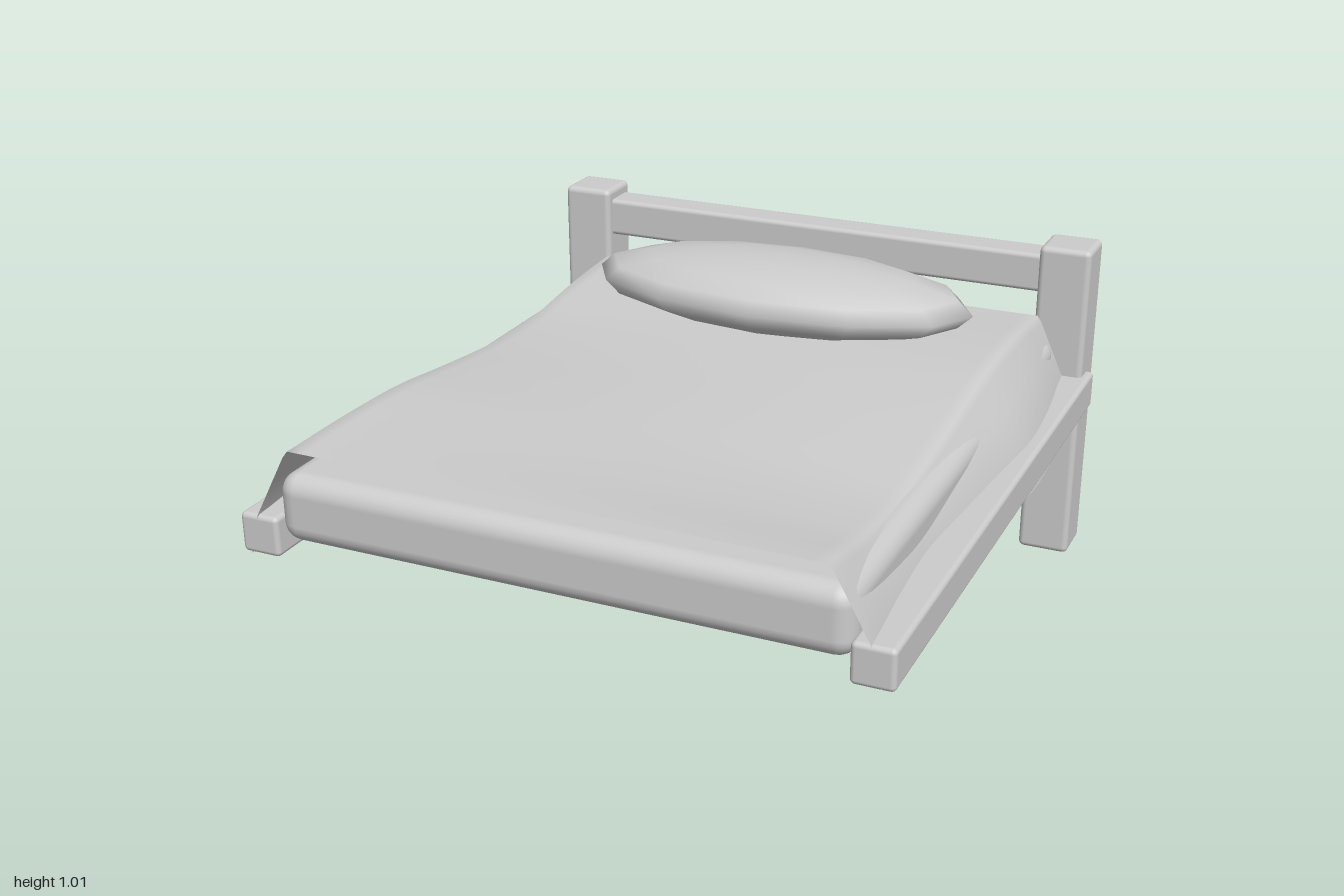
import * as THREE from 'three';
import { RoundedBoxGeometry } from 'three/addons/geometries/RoundedBoxGeometry.js';

const grey = new THREE.MeshStandardMaterial({ color: 0xcccccc, side: THREE.DoubleSide });
grey.name = 'plain grey';

// Rounded block given by its lower and upper limits on each axis
function block(name, [x0, x1], [y0, y1], [z0, z1], radius) {
  const geo = new RoundedBoxGeometry(x1 - x0, y1 - y0, z1 - z0, 3, radius);
  const mesh = new THREE.Mesh(geo, grey);
  mesh.position.set((x0 + x1) / 2, (y0 + y1) / 2, (z0 + z1) / 2);
  mesh.name = name;
  return mesh;
}

// Smooth function through evenly spaced values, t from 0 to 1
function track(values) {
  const curve = new THREE.SplineCurve(values.map((v, i) => new THREE.Vector2(i, v)));
  return t => curve.getPoint(t).y;
}

// Draped cover: shoulder height, spread at rail height and hem height, front to back
function coverGeometry() {
  const left = {
    top: track([0.80, 0.755, 0.735, 0.755, 0.785, 0.812, 0.813, 0.795]),
    spread: track([0.85, 0.83, 0.818, 0.835, 0.855, 0.875, 0.86, 0.83]),
    hem: track([0.5, 0.51, 0.51, 0.495, 0.485, 0.475, 0.485, 0.5]),
  };
  const right = {
    top: track([0.815, 0.815, 0.805, 0.775, 0.75, 0.748, 0.775, 0.79]),
    spread: track([0.855, 0.875, 0.865, 0.85, 0.825, 0.82, 0.84, 0.855]),
    hem: track([0.495, 0.48, 0.475, 0.485, 0.5, 0.505, 0.5, 0.5]),
  };
  const rows = 32, positions = [], indices = [];
  let width = 0;
  for (let r = 0; r <= rows; r++) {
    const t = r / rows;
    const z = THREE.MathUtils.lerp(0.99, -0.84, t);
    // Hanging side, from the hem up to the shoulder
    const hang = (side, s) => {
      const e = side.spread(t), h = side.top(t);
      return [
        [s * (e + 0.03), side.hem(t)],
        [s * e, 0.61],
        [s * (0.745 + (e - 0.745) * 0.5), (0.61 + h) / 2],
        [s * (0.745 + (e - 0.745) * 0.1), h - (h - 0.61) * 0.1],
      ];
    };
    const section = hang(right, -1);
    for (const x of [-0.74, -0.7, -0.5, -0.25, 0, 0.25, 0.5, 0.7, 0.74]) {
      section.push([x, THREE.MathUtils.lerp(right.top(t), left.top(t), (x + 0.74) / 1.48)]);
    }
    section.push(...hang(left, 1).reverse());
    width = section.length;
    for (const [x, y] of section) positions.push(x, y, z);
  }
  for (let r = 0; r < rows; r++) {
    for (let c = 0; c < width - 1; c++) {
      const a = r * width + c, b = a + width;
      indices.push(a, a + 1, b, a + 1, b + 1, b);
    }
  }
  const geo = new THREE.BufferGeometry();
  geo.setAttribute('position', new THREE.Float32BufferAttribute(positions, 3));
  geo.setIndex(indices);
  geo.computeVertexNormals();
  return geo;
}

export function createModel() {
  const bed = new THREE.Group();
  bed.name = 'bed';

  // Head posts and side rails, mirrored
  for (const [side, s] of [['left', 1], ['right', -1]]) {
    const span = (a, b) => (s > 0 ? [a, b] : [-b, -a]);
    bed.add(block(side + 'HeadPost', span(0.73, 0.89), [0, 1.015], [-1, -0.843], 0.018));
    bed.add(block(side + 'SideRail', span(0.797, 0.913), [0.495, 0.61], [-0.92, 0.99], 0.014));
  }
  bed.add(block('headRail', [-0.76, 0.76], [0.86, 0.98], [-0.98, -0.868], 0.014));

  // Mattress
  bed.add(block('mattress', [-0.802, 0.802], [0.537, 0.733], [-0.85, 0.98], 0.055));

  // Cover
  const cover = new THREE.Mesh(coverGeometry(), grey);
  cover.name = 'cover';
  bed.add(cover);

  // Pillow: squashed twelve-sided ball
  const pillowGeo = new THREE.SphereGeometry(1, 12, 8);
  pillowGeo.scale(0.615, 0.112, 0.27);
  const pillow = new THREE.Mesh(pillowGeo, grey);
  pillow.position.set(0, 0.866, -0.558);
  pillow.name = 'pillow';
  bed.add(pillow);

  return bed;
}
